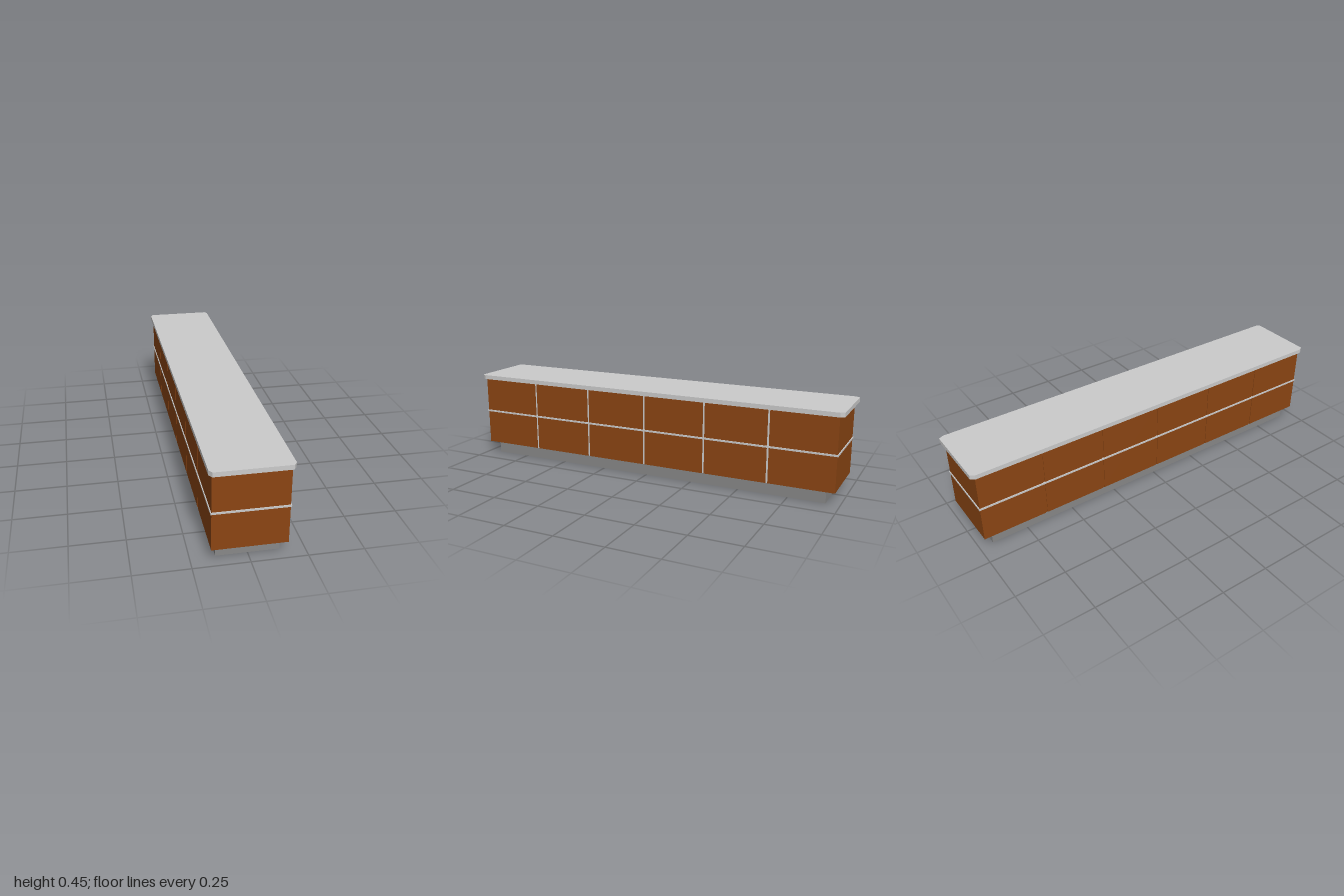
import * as THREE from 'three';

const grey = new THREE.MeshStandardMaterial({ color: 0xcccccc });
const darkGrey = new THREE.MeshStandardMaterial({ color: 0x888888 });
const wood = new THREE.MeshStandardMaterial({ color: 0x8b4513 });

export function createModel() {
  const group = new THREE.Group();
  const box = (name, material, w, h, d, x, y, z) => {
    const mesh = new THREE.Mesh(new THREE.BoxGeometry(w, h, d), material);
    mesh.name = name;
    mesh.position.set(x, y, z);
    group.add(mesh);
  };

  const bottom = 0.064, top = 0.426, halfX = 0.166, halfZ = 0.978;
  const height = top - bottom, midY = (top + bottom) / 2;

  // Recessed plinth
  box('plinth', darkGrey, 0.28, bottom, 1.864, 0, bottom / 2, 0);

  // Cabinet core: grey behind the gaps on the left side, wood elsewhere, grey underneath
  const skin = 0.003;
  box('cabinetBody', [grey, wood, grey, darkGrey, wood, wood],
    2 * (halfX - skin), height, 2 * halfZ, 0, midY, 0);

  // Six side panels along each long side, separated by narrow gaps
  const count = 6, pitch = 2 * halfZ / count, gap = 0.01;
  const panelMaterials = [wood, wood, wood, darkGrey, wood, wood];
  for (const side of [-1, 1]) {
    for (let i = 0; i < count; i++) {
      const z0 = -halfZ + i * pitch + (i > 0 ? gap / 2 : 0);
      const z1 = -halfZ + (i + 1) * pitch - (i < count - 1 ? gap / 2 : 0);
      box('sidePanel', panelMaterials, skin, height, z1 - z0,
        side * (halfX - skin / 2), midY, (z0 + z1) / 2);
    }
  }

  // Horizontal trim band around the cabinet
  box('trimBand', grey, 0.34, 0.009, 2 * halfZ + 0.008, 0, 0.2445, 0);

  // Countertop with clipped corners
  const x = 0.179, z = 1, cx = 0.013, cz = 0.02;
  const outline = new THREE.Shape([
    [x - cx, -z], [x, -z + cz], [x, z - cz], [x - cx, z],
    [-x + cx, z], [-x, z - cz], [-x, -z + cz], [-x + cx, -z],
  ].map(([a, b]) => new THREE.Vector2(a, b)));
  const slab = new THREE.ExtrudeGeometry(outline, { depth: 0.022, bevelEnabled: false });
  slab.rotateX(-Math.PI / 2);
  const counter = new THREE.Mesh(slab, grey);
  counter.name = 'countertop';
  counter.position.y = top;
  group.add(counter);

  return group;
}
